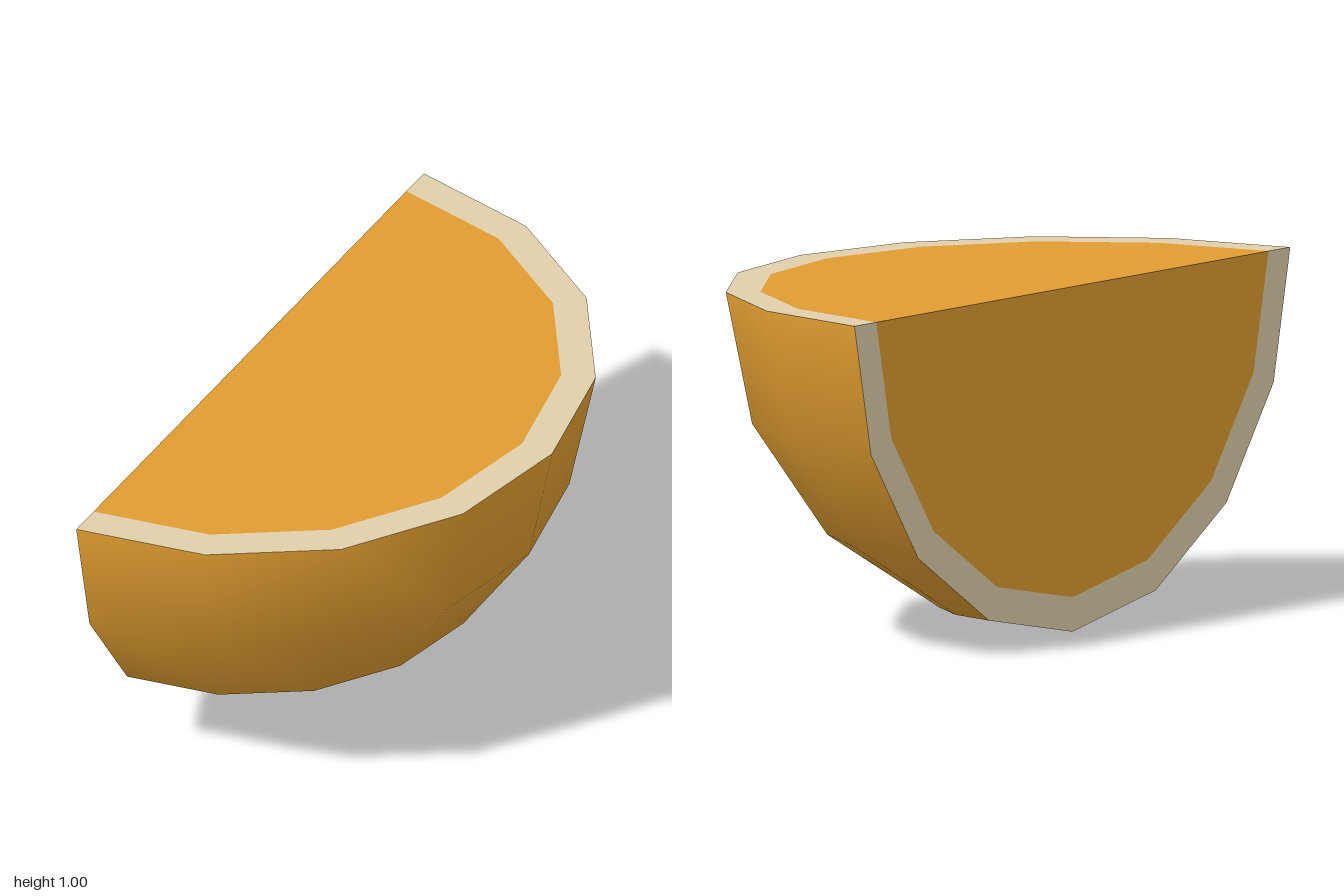
import * as THREE from 'three';

// A quarter wedge of a low-poly citrus fruit: smooth peel, two flat cut faces.
export function createModel() {
  const RADIUS = 1, PULP_RADIUS = 0.9, SIDES = 8;

  const orange = new THREE.MeshStandardMaterial({ color: 0xdf9c30 });
  orange.name = 'orange';
  const cream = new THREE.MeshStandardMaterial({ color: 0xdfcfa9 });
  cream.name = 'cream pith';

  const wedge = new THREE.Group();
  wedge.name = 'fruitWedge';
  wedge.position.set(-0.5, 1, 0);

  const add = (name, geometry, material) => {
    const mesh = new THREE.Mesh(geometry, material);
    mesh.name = name;
    wedge.add(mesh);
    return mesh;
  };

  // Rounded peel: lower half of the +x hemisphere
  add('peel', new THREE.SphereGeometry(
    RADIUS, SIDES, SIDES / 2, Math.PI / 2, Math.PI, Math.PI / 2, Math.PI / 2), orange);

  // Each cut face is a half disc of pulp inside a half ring of pith
  const addCutFace = (name, start, rotX, rotY) => {
    const pulp = add(name + 'Pulp',
      new THREE.CircleGeometry(PULP_RADIUS, SIDES, start, Math.PI), orange);
    const pith = add(name + 'Pith',
      new THREE.RingGeometry(PULP_RADIUS, RADIUS, SIDES, 1, start, Math.PI), cream);
    for (const mesh of [pulp, pith]) mesh.geometry.rotateX(rotX).rotateY(rotY);
  };
  addCutFace('top', -Math.PI / 2, -Math.PI / 2, 0);
  addCutFace('side', Math.PI, 0, -Math.PI / 2);

  const model = new THREE.Group();
  model.name = 'citrusQuarter';
  model.add(wedge);
  return model;
}
